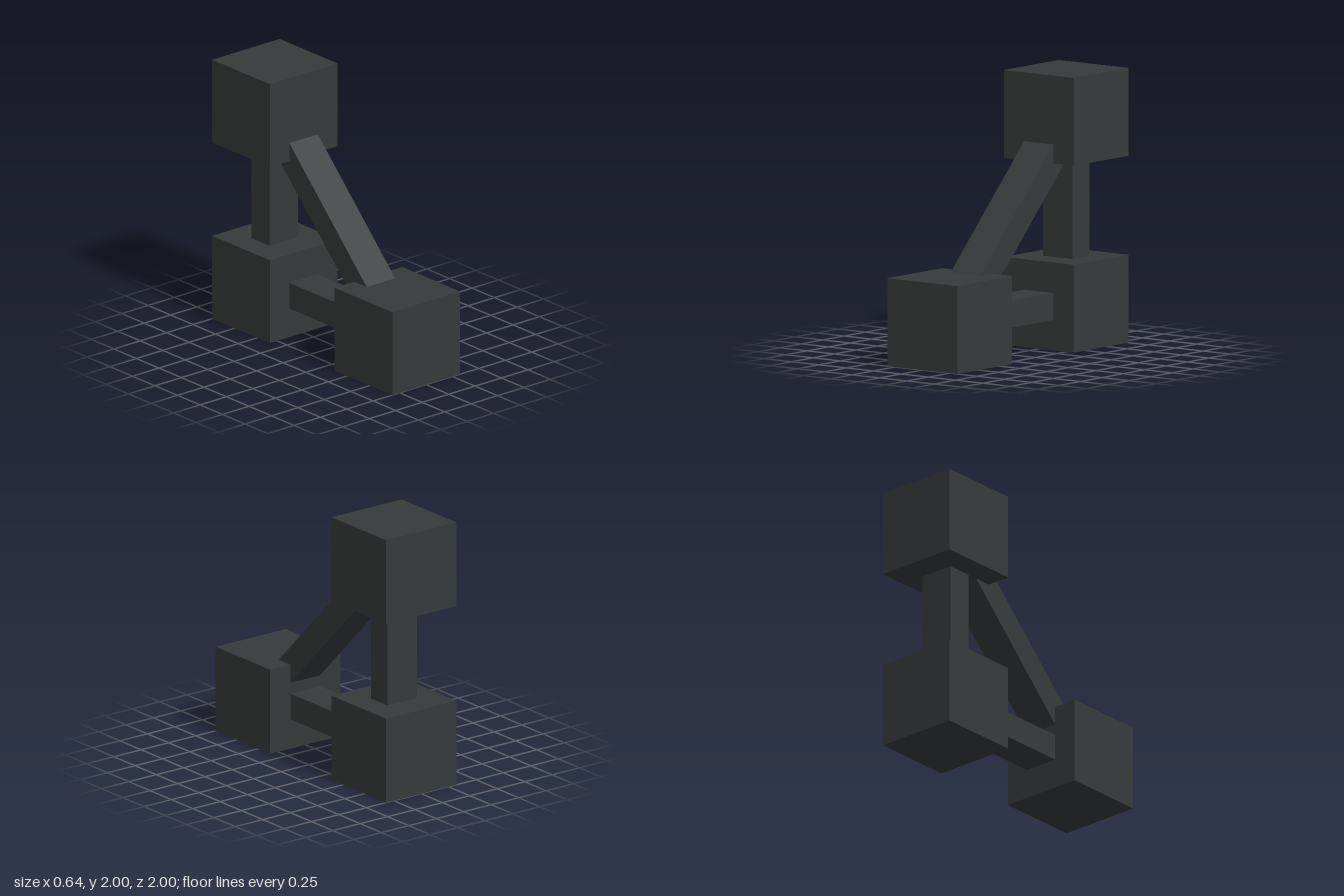
import * as THREE from 'three';

export function createModel() {
  const model = new THREE.Group();
  model.name = 'triangleOfCubes';

  const charcoal = new THREE.MeshStandardMaterial({ color: 0x343b3a });
  charcoal.name = 'charcoal';

  const cubeSize = 0.64;
  const barWidth = 0.27;
  const barThickness = 0.196;

  // Cubes at the three corners of a right triangle in the yz plane
  const corners = {
    frontCube: new THREE.Vector3(0, 0.32, 0.68),
    backCube: new THREE.Vector3(0, 0.32, -0.68),
    topCube: new THREE.Vector3(0, 1.68, -0.68),
  };
  const cubeGeometry = new THREE.BoxGeometry(cubeSize, cubeSize, cubeSize);
  for (const [name, position] of Object.entries(corners)) {
    const cube = new THREE.Mesh(cubeGeometry, charcoal);
    cube.name = name;
    cube.position.copy(position);
    model.add(cube);
  }

  // Flat bar running between the centres of two cubes
  function addBar(name, from, to) {
    const span = to.clone().sub(from);
    const bar = new THREE.Mesh(
      new THREE.BoxGeometry(barWidth, barThickness, span.length()), charcoal);
    bar.name = name;
    bar.position.copy(from).lerp(to, 0.5);
    bar.rotation.x = Math.atan2(-span.y, span.z);
    model.add(bar);
  }

  const { frontCube, backCube, topCube } = corners;
  addBar('baseBar', backCube, frontCube);
  addBar('uprightBar', backCube, topCube);
  addBar('diagonalBar', topCube, frontCube);

  return model;
}
